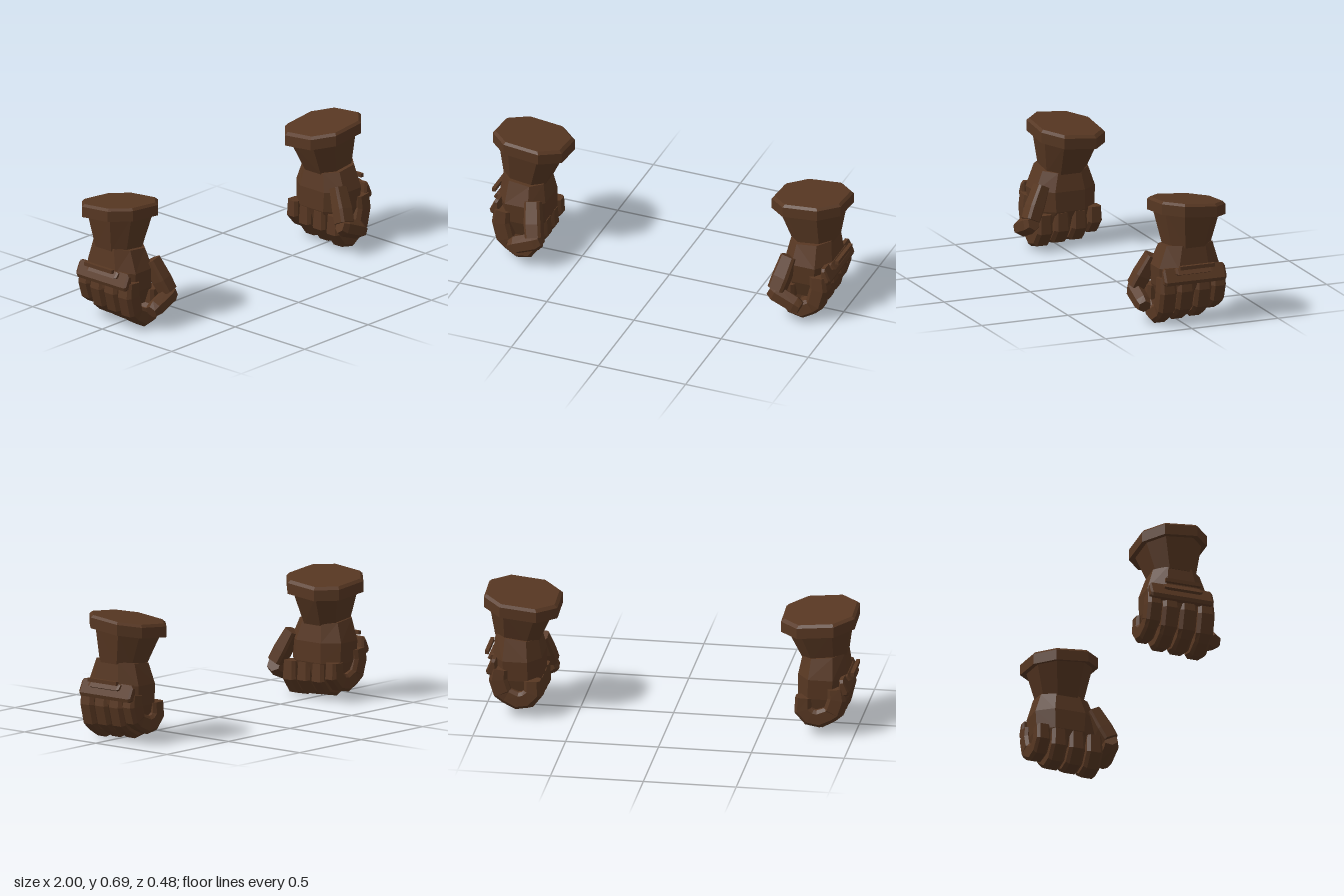
import * as THREE from 'three';

const V = (x, y, z) => new THREE.Vector3(x, y, z);
const leather = new THREE.MeshStandardMaterial({ color: 0x573722, flatShading: true });
leather.name = 'brown leather';

// Closed solid from cross-sections; s = -1 mirrors it to the other hand
function loft(name, rings, s) {
  const tris = [], n = rings[0].length;
  const tri = (a, b, c) => tris.push([a, b, c]);
  for (let i = 0; i + 1 < rings.length; i++) {
    for (let j = 0; j < n; j++) {
      const k = (j + 1) % n, a = rings[i], b = rings[i + 1];
      tri(a[j], a[k], b[k]);
      tri(a[j], b[k], b[j]);
    }
  }
  const first = rings[0], last = rings[rings.length - 1];
  for (let j = 1; j + 1 < n; j++) {
    tri(first[0], first[j + 1], first[j]);
    tri(last[0], last[j], last[j + 1]);
  }
  // Signed volume tells whether the corners must be reversed
  const o = first[0];
  let volume = 0;
  for (const [a, b, c] of tris) {
    volume += a.clone().sub(o).dot(b.clone().sub(o).cross(c.clone().sub(o)));
  }
  const flip = volume * s < 0;
  const pos = [];
  for (const [a, b, c] of tris) {
    for (const p of flip ? [a, c, b] : [a, b, c]) pos.push(p.x * s, p.y, p.z);
  }
  const g = new THREE.BufferGeometry();
  g.setAttribute('position', new THREE.Float32BufferAttribute(pos, 3));
  g.computeVertexNormals();
  const mesh = new THREE.Mesh(g, leather);
  mesh.name = name;
  return mesh;
}

const octagon = (k) => [[1, -k], [1, k], [k, 1], [-k, 1], [-1, k], [-1, -k], [-k, -1], [k, -1]];
const hexagon = [[0, 1], [1, 0.5], [1, -0.5], [0, -1], [-1, -0.5], [-1, 0.5]];

// Level or tilted octagonal ring; y is a function of x and z
const ring = (x0, x1, z0, z1, y) => octagon(0.5).map(([u, v]) => {
  const x = (x0 + x1) / 2 + u * (x1 - x0) / 2, z = (z0 + z1) / 2 + v * (z1 - z0) / 2;
  return V(x, y(x, z), z);
});

// Cross-sections along a bent path; steps are [point, half width, half depth]
function sweep(steps, side, section) {
  return steps.map(([p, w, d], i) => {
    const a = steps[Math.max(0, i - 1)][0], b = steps[Math.min(steps.length - 1, i + 1)][0];
    const t = b.clone().sub(a).normalize();
    const u = side.clone().addScaledVector(t, -side.dot(t)).normalize();
    const n = u.clone().cross(t);
    return section.map(([i1, i2]) => p.clone().addScaledVector(u, i1 * w).addScaledVector(n, i2 * d));
  });
}

// Bar along z with slightly drawn-in ends
function bar(points, z0, z1, bevel) {
  const cx = points.reduce((t, p) => t + p[0], 0) / points.length;
  const cy = points.reduce((t, p) => t + p[1], 0) / points.length;
  const at = (z, f) => points.map(([x, y]) => V(cx + (x - cx) * f, cy + (y - cy) * f, z));
  return [at(z0, 0.7), at(z0 + bevel, 1), at(z1 - bevel, 1), at(z1, 0.7)];
}

function glove(s) {
  const g = new THREE.Group();
  const add = (name, rings) => g.add(loft(name, rings, s));

  // Cuff rim, tilted outwards and backwards
  const tilt = (drop) => (x, z) => 0.665 + 0.1 * (x - 0.8) + 0.1 * (z + 0.05) - drop;
  add('cuffRim', [
    ring(0.63, 0.97, -0.21, 0.105, tilt(0.068)),
    ring(0.602, 0.998, -0.238, 0.13, tilt(0.072)),
    ring(0.602, 0.998, -0.238, 0.13, tilt(0.014)),
    ring(0.618, 0.984, -0.225, 0.117, tilt(0)),
  ]);

  // Flared cuff
  const wristY = (x) => 0.43 + 0.12 * (x - 0.83);
  add('flaredCuff', [
    ring(0.71, 0.945, -0.155, 0.07, (x) => wristY(x) - 0.01),
    ring(0.63, 0.97, -0.21, 0.105, tilt(0.06)),
  ]);

  // Hand body from wrist to palm
  add('hand', [
    ring(0.72, 0.9, -0.18, 0.1, () => 0.12),
    ring(0.69, 0.945, -0.2, 0.13, () => 0.21),
    ring(0.69, 0.955, -0.205, 0.14, () => 0.32),
    ring(0.71, 0.94, -0.17, 0.095, (x) => wristY(x) + 0.004),
  ]);

  // Curled fingers: centre z, half width, lift of the lowest point
  const fingers = [['index', 0.11, 0.048, 0], ['middle', 0.01, 0.048, 0.01],
    ['ring', -0.091, 0.047, 0.016], ['little', -0.181, 0.041, 0.05]];
  for (const [name, z, w, lift] of fingers) {
    const curl = [[0.905, 0.275, 0.9], [0.912, 0.2, 1], [0.888, 0.105, 1], [0.868, 0.085, 0.9],
      [0.81, 0.052, 0.97], [0.765, 0.062, 0.97], [0.728, 0.11, 0.95], [0.73, 0.2, 0.85]];
    add(name + 'Finger', sweep(
      curl.map(([x, y, f]) => [V(x, y + lift * (0.28 - y) / 0.23, z), w * f, 0.05 * f]),
      V(0, 0, 1), octagon(0.63)));
  }

  // Thumb folded across the front of the fist
  add('thumbBase', sweep([
    [V(0.735, 0.355, 0.115), 0.042, 0.034],
    [V(0.712, 0.25, 0.165), 0.047, 0.042],
    [V(0.695, 0.185, 0.195), 0.045, 0.04],
  ], V(1, 0.1, 0), octagon(0.7)));
  add('thumbTip', sweep([
    [V(0.665, 0.175, 0.19), 0.034, 0.04],
    [V(0.69, 0.163, 0.198), 0.039, 0.052],
    [V(0.80, 0.118, 0.2), 0.039, 0.05],
    [V(0.832, 0.105, 0.2), 0.032, 0.036],
  ], V(0, 0, 1), hexagon));

  // Knuckle guard with a raised strip and a slim bar above it
  add('knucklePlate', bar([[0.925, 0.33], [0.945, 0.333], [0.978, 0.262], [0.972, 0.243],
    [0.945, 0.237], [0.92, 0.26]], -0.215, 0.143, 0.012));
  add('knuckleStrip', bar([[0.935, 0.333], [0.957, 0.333], [0.982, 0.302], [0.965, 0.295]],
    -0.137, 0.078, 0.014));
  add('guardBar', [-0.138, 0.062].map((z) =>
    [[0.974, 0.33], [0.994, 0.33], [0.994, 0.35], [0.974, 0.35]].map(([x, y]) => V(x, y, z))));
  return g;
}

export function createModel() {
  const model = new THREE.Group();
  model.name = 'gloves';
  for (const [name, s] of [['leftGlove', 1], ['rightGlove', -1]]) {
    const g = glove(s);
    g.name = name;
    model.add(g);
  }
  return model;
}
